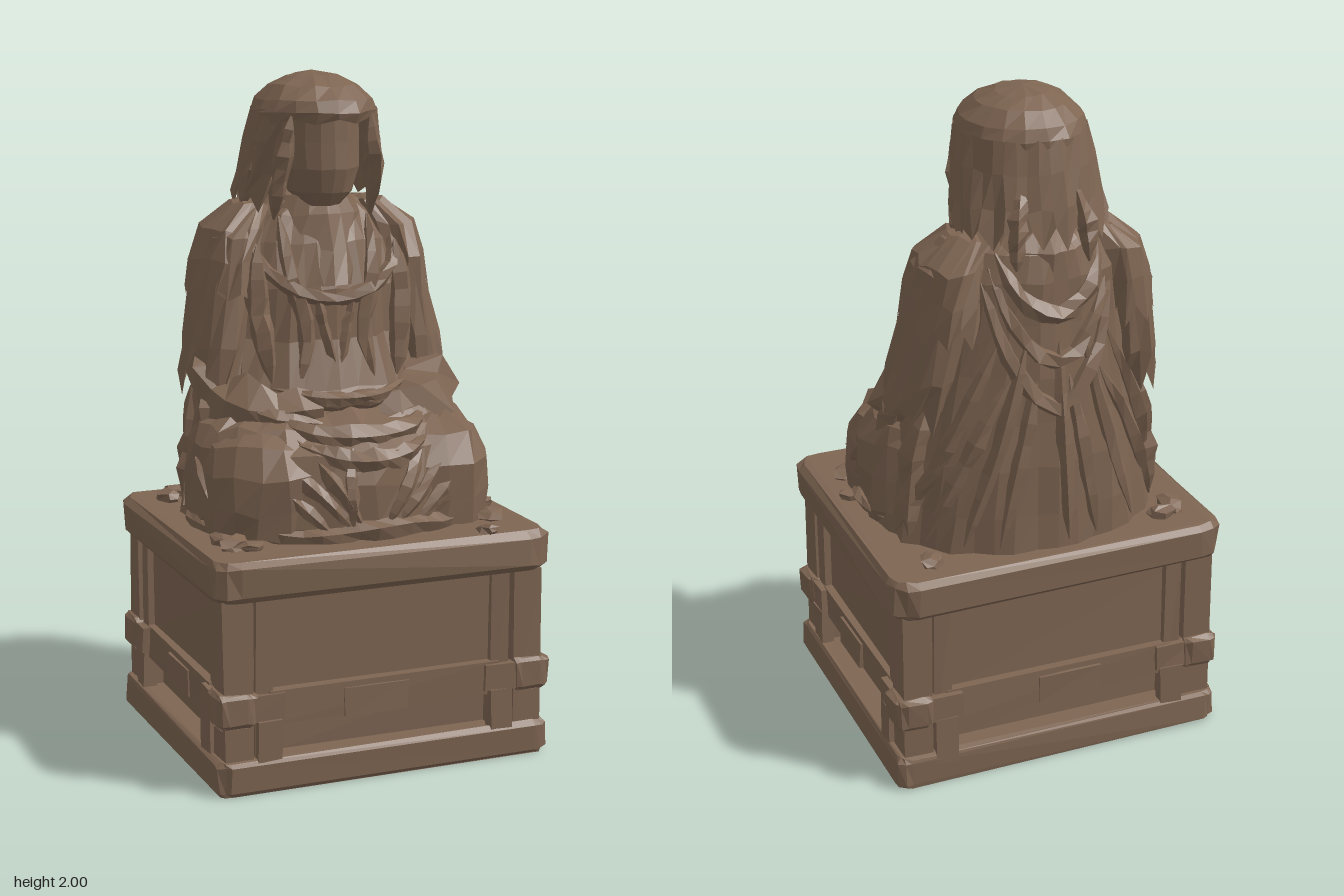
import * as THREE from 'three';

const V = (x, y, z) => new THREE.Vector3(x, y, z);
const noise = (n) => { const s = Math.sin(n * 127.1 + 11.7) * 43758.5453; return (s - Math.floor(s)) * 2 - 1; };

// Point on an oval section: row = [y, half width, front z, back z, centre x]; angle 0 faces front, + goes to +x
function rowPoint([y, rx, zf, zb, cx = 0], a, grow = 1) {
  return V(cx + rx * grow * Math.sin(a), y, (zf + zb) / 2 + ((zf - zb) / 2) * grow * Math.cos(a));
}

// Same, for any height between the rows
function surfacePoint(rows, a, y, grow = 1.01) {
  let i = 0;
  while (i < rows.length - 2 && rows[i + 1][0] < y) i++;
  const t = (y - rows[i][0]) / (rows[i + 1][0] - rows[i][0] || 1);
  return rowPoint(rows[i].map((v, k) => v + (rows[i + 1][k] - v) * t), a, grow);
}

// Skin over rows from bottom to top, with folds, chipping and an optional ragged hem
function loft(rows, { n = 24, from = 0, to = Math.PI * 2, fold = 0, folds = 9, chip = 0.006, ragged = 0, seed = 1 } = {}) {
  const closed = to - from > 6.28, pos = [], index = [];
  rows.forEach((row, j) => {
    for (let i = 0; i <= n; i++) {
      const k = closed ? i % n : i, a = from + ((to - from) * k) / n;
      const wave = fold * (1 - j / rows.length) * Math.sin(a * folds + j * 0.6);
      const p = rowPoint(row, a, 1 + wave), h = seed * 991 + j * 53 + k;
      if (row[1] > 0.01) p.add(V(noise(h), noise(h + 0.3), noise(h + 0.6)).multiplyScalar(chip));
      if (j === 0) p.y += ragged * (k % 2 ? -1 : 0.6) * (0.6 + 0.4 * noise(h + 0.8));
      pos.push(p.x, p.y, p.z);
      if (i < n && j < rows.length - 1) {
        const b = j * (n + 1) + i, c = b + n + 1;
        index.push(b, b + 1, c + 1, b, c + 1, c);
      }
    }
  });
  const g = new THREE.BufferGeometry();
  g.setAttribute('position', new THREE.Float32BufferAttribute(pos, 3));
  g.setIndex(index);
  g.computeVertexNormals();
  return g;
}

// Rough tube that narrows towards both ends, for folds, hems and locks
function ridge(points, r, segs = 8, endScale = 0.1) {
  const curve = new THREE.CatmullRomCurve3(points), g = new THREE.TubeGeometry(curve, segs, r, 5);
  const p = g.attributes.position, v = V(0, 0, 0);
  for (let i = 0; i < p.count; i++) {
    const ring = Math.floor(i / 6), t = ring / segs, c = curve.getPointAt(t);
    const rough = 1 + 0.3 * noise(ring * 7 + (i % 6) % 5 + points[0].x * 31);
    v.fromBufferAttribute(p, i).sub(c).multiplyScalar(rough * (endScale + (1 - endScale) * Math.sin(Math.PI * t) ** 0.6)).add(c);
    p.setXYZ(i, v.x, v.y, v.z);
  }
  g.computeVertexNormals();
  return g;
}

// Moves corners a little, the same way wherever faces share one
function weather(g, amount) {
  const p = g.attributes.position;
  for (let i = 0; i < p.count; i++) {
    const [x, y, z] = [p.getX(i), p.getY(i), p.getZ(i)];
    const h = Math.round(x * 1000) * 3 + Math.round(y * 1000) * 7 + Math.round(z * 1000) * 13;
    p.setXYZ(i, x + amount * noise(h), y + (y > 0.001 ? amount * 0.6 * noise(h + 0.4) : 0), z + amount * noise(h + 0.7));
  }
  g.computeVertexNormals();
  return g;
}

// Worn slab with rounded corners
function slab(w, d, h, corner, bevel) {
  const s = new THREE.Shape(), x = w / 2 - bevel, y = d / 2 - bevel, c = corner;
  s.moveTo(-x + c, -y);
  [[x, -y, -c, 0, 0, c], [x, y, 0, -c, -c, 0], [-x, y, c, 0, 0, -c], [-x, -y, 0, c, c, 0]].forEach(([px, py, ax, ay, bx, by]) => {
    s.lineTo(px + ax, py + ay);
    s.quadraticCurveTo(px, py, px + bx, py + by);
  });
  const g = new THREE.ExtrudeGeometry(s, { depth: h - 2 * bevel, bevelSize: bevel, bevelThickness: bevel, bevelSegments: 1, curveSegments: 3 });
  return weather(g.rotateX(-Math.PI / 2).translate(0, bevel, 0), 0.006);
}

export function createModel() {
  const model = new THREE.Group();
  const stone = new THREE.MeshStandardMaterial({ color: 0x7e6552, flatShading: true, side: THREE.DoubleSide });
  stone.name = 'brown stone';
  const add = (name, geometry, x = 0, y = 0, z = 0) => {
    const m = new THREE.Mesh(geometry, stone);
    m.name = name;
    m.position.set(x, y, z);
    model.add(m);
    return m;
  };
  const box = (name, w, h, d, x, y, z) => add(name, weather(new THREE.BoxGeometry(w, h, d).translate(x, y, z), 0.004));

  // Pedestal
  add('plinthFoot', slab(1.04, 0.92, 0.1, 0.03, 0.012));
  add('plinthTop', slab(1.05, 0.93, 0.12, 0.06, 0.018), 0, 0.565, 0);
  box('plinthPanels', 0.93, 0.33, 0.82, 0, 0.405, 0);
  box('plinthRecess', 0.88, 0.2, 0.77, 0, 0.17, 0);
  for (const s of [-1, 1]) {
    box('frontBackRail', 0.72, 0.1, 0.05, 0, 0.245, s * 0.412);
    box('sideRail', 0.05, 0.1, 0.6, s * 0.465, 0.245, 0);
    box('railBlock', 0.2, 0.085, 0.02, -0.03, 0.235, s * 0.435);
    box('railBlock', 0.02, 0.085, 0.18, s * 0.488, 0.235, 0.03);
    for (const t of [-1, 1]) {
      box('cornerPost', 0.09, 0.48, 0.09, s * 0.452, 0.33, t * 0.395);
      box('postStrip', 0.055, 0.48, 0.05, s * 0.37, 0.33, t * 0.405);
      box('postStrip', 0.05, 0.48, 0.055, s * 0.462, 0.33, t * 0.32);
      add('cornerClamp', slab(0.12, 0.12, 0.1, 0.02, 0.012), s * 0.46, 0.2, t * 0.4);
      box('clampPlate', 0.13, 0.08, 0.03, s * 0.38, 0.25, t * 0.435);
      box('clampPlate', 0.03, 0.08, 0.13, s * 0.495, 0.25, t * 0.34);
      box('clampStem', 0.07, 0.15, 0.04, s * 0.365, 0.14, t * 0.435);
      box('clampStem', 0.04, 0.15, 0.07, s * 0.49, 0.14, t * 0.31);
    }
  }

  // Loose stones on the pedestal
  [[-0.37, -0.35], [0.37, -0.36], [-0.43, 0.24], [-0.37, 0.34], [-0.41, 0.29], [0.33, 0.42], [0.45, 0.12], [0.41, 0.27], [-0.41, -0.31]]
    .forEach(([x, z], i) => {
      const m = add('looseStone', weather(new THREE.DodecahedronGeometry(0.036 + 0.008 * noise(i), 0), 0.008), x, 0.695, z);
      m.scale.set(1.3, 0.6, 0.9);
      m.rotation.y = i;
    });

  // Robe over the torso
  const robe = [[0.68, 0.42, 0.2, -0.415], [0.8, 0.4, 0.2, -0.415], [0.95, 0.375, 0.17, -0.41], [1.08, 0.345, 0.1, -0.395],
    [1.22, 0.31, 0.055, -0.385], [1.37, 0.29, 0.05, -0.38], [1.5, 0.265, 0.01, -0.375], [1.58, 0.21, -0.03, -0.36], [1.63, 0.13, -0.06, -0.3], [1.64, 0, -0.15, -0.15]];
  add('torsoRobe', loft(robe, { n: 40, fold: 0.025, folds: 14, seed: 2 }));

  // Crossed legs under the skirt
  const lap = [[0.68, 0.44, 0.355, -0.34], [0.73, 0.445, 0.36, -0.34], [0.84, 0.445, 0.36, -0.31], [0.93, 0.44, 0.335, -0.28],
    [0.99, 0.41, 0.26, -0.24], [1.03, 0.34, 0.17, -0.2], [1.04, 0, 0, 0]];
  add('skirt', loft(lap, { n: 32, fold: 0.015, folds: 7, chip: 0.012, seed: 3 }));
  for (const s of [-1, 1]) {
    const knee = [[0.69, 0.185, 0.31, 0, s * 0.25], [0.77, 0.195, 0.33, -0.05, s * 0.25], [0.87, 0.195, 0.335, -0.08, s * 0.25],
      [0.95, 0.16, 0.29, -0.08, s * 0.25], [0.995, 0.09, 0.2, -0.02, s * 0.24], [1.0, 0, 0.1, 0.1, s * 0.24]];
    add('knee', loft(knee, { n: 14, chip: 0.012, seed: 5 + s }));
    // Folds sweeping from the shin up and out over the knee
    [[0.08, 0.72, 0.5, 0.97], [0.15, 0.72, 0.75, 0.95], [0.3, 0.71, 1, 0.94], [0.65, 0.71, 1.25, 0.92], [1.05, 0.71, 1.5, 0.9]].forEach(([a, y, b, top]) =>
      add('skirtFold', ridge([surfacePoint(lap, s * a, y, 1), surfacePoint(lap, s * (a * 0.65 + b * 0.35), (y + top) / 2 - 0.02, 1), surfacePoint(lap, s * b, top, 1)], 0.024)));
  }
  [0.97, 0.91].forEach((y, i) => add('lapSwag', ridge([-0.9, -0.4, 0, 0.4, 0.9].map((a) =>
    surfacePoint(lap, a * (0.85 - i * 0.3), y + 0.06 * a * a, 0.99)), 0.034, 12)));
  add('shinFold', ridge([surfacePoint(lap, -0.12, 0.95), surfacePoint(lap, -0.17, 0.84), surfacePoint(lap, -0.15, 0.72)], 0.022));
  add('skirtHem', ridge(Array.from({ length: 15 }, (_, i) => surfacePoint(lap, -1.9 + i * 3.8 / 14, 0.705 + 0.012 * noise(i), 1.0)), 0.03, 28));

  // Hanging folds and V-shaped swags on the back
  for (let i = 0; i < 9; i++) {
    const q = (i - 4) / 4 + 0.06 * noise(i);
    add('backFold', ridge([surfacePoint(robe, Math.PI + q * 0.6, 1.32 - 0.1 * (i % 2), 1), surfacePoint(robe, Math.PI + q * 0.95, 1.02),
      surfacePoint(robe, Math.PI + q * 1.4, 0.71)], 0.026));
  }
  [1.4, 1.26, 1.12].forEach((y, i) => add('backSwag', ridge([-1, -0.5, 0, 0.5, 1].map((q) =>
    surfacePoint(robe, Math.PI + q * 0.85 + 0.05 * noise(i), y + Math.abs(q) ** 1.4 * (0.18 + i * 0.1), 0.99)), 0.03, 12)));

  // Arms, sleeves and shoulder capes
  for (const s of [-1, 1]) {
    const sleeve = [[1.1, 0.085, 0.01, -0.27, s * 0.33], [1.2, 0.09, 0.01, -0.3, s * 0.31], [1.38, 0.09, -0.01, -0.32, s * 0.28],
      [1.52, 0.085, -0.04, -0.32, s * 0.25], [1.6, 0.06, -0.1, -0.27, s * 0.19], [1.615, 0, -0.17, -0.17, s * 0.18]];
    add('upperSleeve', loft(sleeve, { n: 18, ragged: 0.07, chip: 0.01, seed: 9 + s }));
    const cape = [[1.35, 0.1, 0, -0.35, s * 0.275], [1.45, 0.1, -0.01, -0.35, s * 0.26], [1.54, 0.09, -0.04, -0.34, s * 0.24],
      [1.61, 0.06, -0.1, -0.28, s * 0.18], [1.625, 0, -0.17, -0.17, s * 0.17]];
    add('shoulderCape', loft(cape, { n: 20, ragged: 0.06, fold: 0.03, folds: 7, chip: 0.01, seed: 13 + s }));
    add('forearmSleeve', ridge([V(s * 0.31, 1.2, -0.16), V(s * 0.335, 1.08, -0.05), V(s * 0.25, 1.02, 0.1), V(s * 0.08, 1.03, 0.14)], 0.085, 8, 0.5));
    add('sleeveDrape', ridge([V(s * 0.35, 1.16, -0.12), V(s * 0.37, 0.98, -0.02), V(s * 0.4, 0.74, -0.06)], 0.05));
    add('sleeveDrape', ridge([V(s * 0.33, 1.1, -0.22), V(s * 0.36, 0.92, -0.2), V(s * 0.39, 0.71, -0.22)], 0.045));
    add('sleeveFold', ridge([V(s * 0.3, 1.1, -0.02), V(s * 0.25, 1.02, 0.14), V(s * 0.1, 1, 0.2)], 0.035));
    const hand = add('hand', new THREE.IcosahedronGeometry(0.05, 1), s * 0.05, 1.055, 0.155);
    hand.scale.set(1.3, 0.6, 0.8);
    // Robe edges crossing the chest
    add('robeEdge', ridge([V(s * 0.14, 1.58, -0.05), V(s * 0.13, 1.42, 0.025), V(s * 0.09, 1.25, 0.045), V(s * 0.12, 1.09, 0.07)], 0.028));
    add('innerEdge', ridge([V(s * 0.06, 1.36, 0.045), V(s * 0.035, 1.25, 0.05), V(0, 1.12, 0.07)], 0.02));
    add('chestFold', ridge([V(s * 0.22, 1.5, -0.02), V(s * 0.23, 1.3, 0.015), V(s * 0.2, 1.1, 0.05)], 0.035));
  }
  add('sleeveRim', ridge([V(-0.21, 1.09, 0.08), V(-0.1, 1.07, 0.165), V(0, 1.065, 0.185), V(0.1, 1.07, 0.165), V(0.21, 1.09, 0.08)], 0.022, 12));

  // Cowl and scarf round the neck
  add('cowl', loft([[1.38, 0.12, 0.06, -0.3], [1.48, 0.17, 0.025, -0.36], [1.58, 0.17, -0.01, -0.365], [1.64, 0.12, -0.04, -0.32], [1.65, 0, -0.15, -0.15]],
    { n: 20, fold: 0.05, folds: 8, seed: 17 }));
  add('scarf', ridge([V(-0.23, 1.56, -0.1), V(-0.2, 1.43, 0), V(-0.1, 1.36, 0.045), V(0, 1.34, 0.05), V(0.1, 1.36, 0.045), V(0.2, 1.43, 0), V(0.23, 1.56, -0.1)], 0.024, 14));
  add('neck', new THREE.CylinderGeometry(0.075, 0.085, 0.16, 10), 0, 1.62, -0.12);

  // Head
  add('face', loft([[1.605, 0, -0.03, -0.03], [1.61, 0.05, 0.005, -0.12], [1.65, 0.095, 0.03, -0.18], [1.72, 0.12, 0.05, -0.22],
    [1.8, 0.125, 0.045, -0.24], [1.88, 0.12, 0.045, -0.24], [1.92, 0, -0.1, -0.1]], { n: 18, chip: 0.002 }));

  // Hair: crown, ragged curtain open at the face, and hanging locks
  add('hairCrown', loft([[1.86, 0.187, 0.075, -0.325], [1.885, 0.188, 0.085, -0.325], [1.92, 0.172, 0.07, -0.312], [1.96, 0.13, 0.015, -0.27],
    [1.985, 0.075, -0.05, -0.215], [2, 0, -0.14, -0.14]], { n: 18, chip: 0.004, ragged: 0.012, seed: 19 }));
  add('hairCurtain', loft([[1.63, 0.225, -0.01, -0.37], [1.7, 0.215, 0.01, -0.355], [1.8, 0.203, 0.045, -0.338], [1.89, 0.186, 0.07, -0.322]],
    { n: 28, from: 0.85, to: Math.PI * 2 - 0.85, ragged: 0.05, fold: 0.025, folds: 10, seed: 23 }));
  for (const s of [-1, 1]) {
    add('faceLock', ridge([V(s * 0.125, 1.88, 0.02), V(s * 0.145, 1.75, -0.005), V(s * 0.155, 1.57, -0.05)], 0.03));
    add('sideLock', ridge([V(s * 0.17, 1.84, -0.08), V(s * 0.19, 1.72, -0.12), V(s * 0.215, 1.59, -0.16)], 0.025));
    add('backLock', ridge([V(s * 0.08, 1.76, -0.315), V(s * 0.1, 1.66, -0.34), V(s * 0.11, 1.54, -0.36)], 0.03));
  }
  return model;
}
